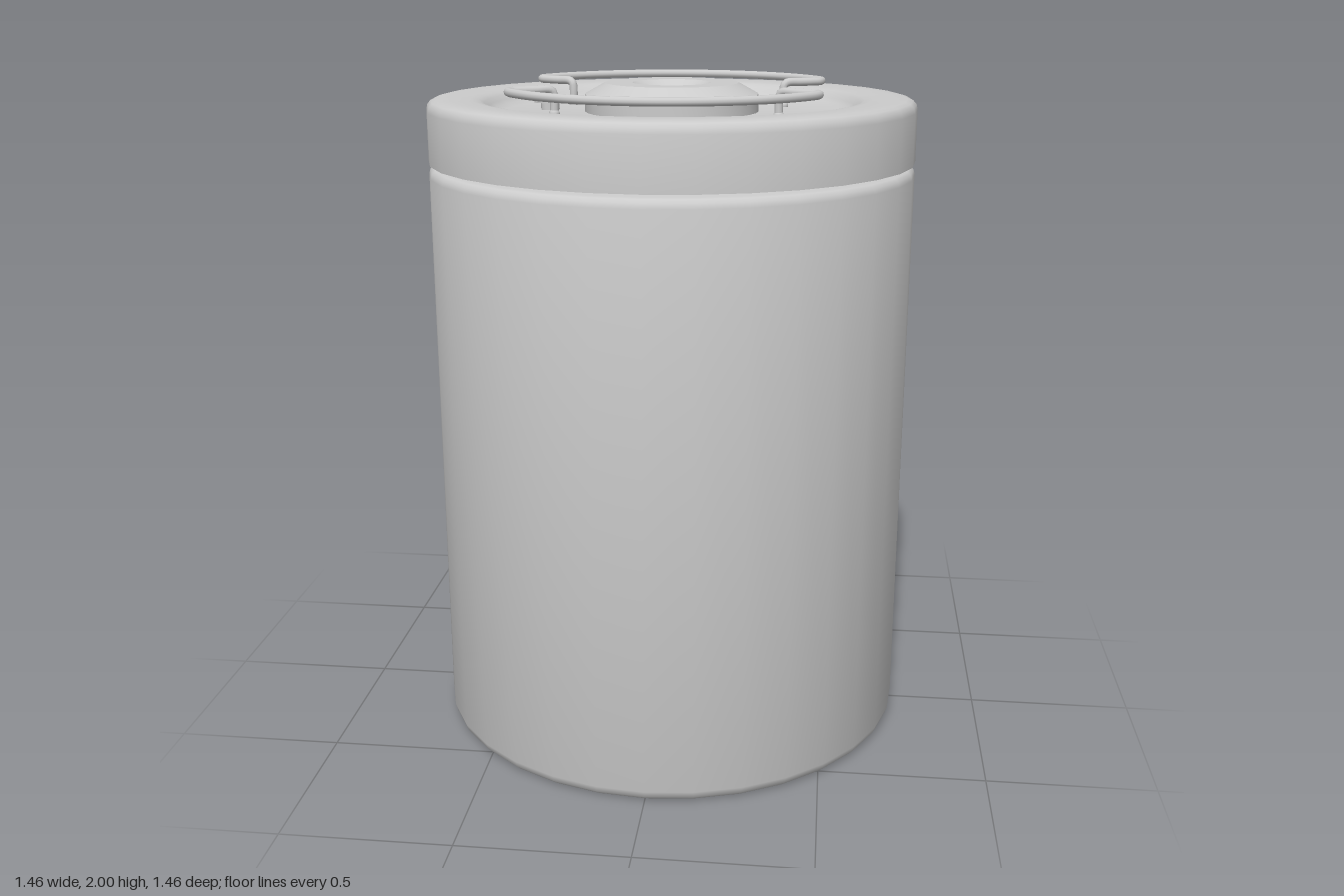
import * as THREE from 'three';
import { toCreasedNormals } from 'three/addons/utils/BufferGeometryUtils.js';

const material = new THREE.MeshStandardMaterial({ color: 0xcccccc });

function addMesh(parent, name, geometry) {
  const mesh = new THREE.Mesh(geometry, material);
  mesh.name = name;
  parent.add(mesh);
  return mesh;
}

// Turned solid; the profile runs from the bottom axis outward, up, and back to the top axis
function turned(profile, sides, crease = 0.6) {
  const points = profile.map(([r, y]) => new THREE.Vector2(r, y));
  return toCreasedNormals(new THREE.LatheGeometry(points, sides), crease);
}

// Bent wire: a bow around the rim, arms turned inward, and short legs down into the lid
function wireHandle() {
  const y = 1.987, r = 0.515;
  const half = [];
  for (let i = 1; i <= 6; i++) {
    const a = (i / 6) * 0.9;
    half.push([r * Math.sin(a), y, -r * Math.cos(a)]);
  }
  half.push([0.435, y, -0.275], [0.443, y, -0.25], [0.437, y, -0.23], [0.415, y, -0.213],
    [0.375, y, -0.19], [0.34, y, -0.17], [0.33, y - 0.006, -0.164], [0.327, y - 0.02, -0.162], [0.327, 1.905, -0.162]);
  const left = half.map(p => new THREE.Vector3(...p));
  const right = left.map(p => new THREE.Vector3(-p.x, p.y, p.z)).reverse();
  const path = new THREE.CatmullRomCurve3([...right, new THREE.Vector3(0, y, -r), ...left]);
  return new THREE.TubeGeometry(path, 180, 0.0125, 10, false);
}

export function createModel() {
  const model = new THREE.Group();
  model.name = 'canister';

  // Body with softly rounded edges and a shallow recessed base
  addMesh(model, 'body', turned([
    [0, 0.02], [0.49, 0.02], [0.56, 0.012], [0.64, 0.003], [0.695, 0], [0.712, 0.004], [0.724, 0.016], [0.73, 0.035],
    [0.73, 1.735], [0.726, 1.75], [0.716, 1.759], [0.7, 1.762], [0, 1.762],
  ], 32));

  // Narrow neck bridging the gap under the lid
  addMesh(model, 'neck', new THREE.CylinderGeometry(0.31, 0.31, 0.03, 32).translate(0, 1.768, 0));

  // Lid with a rounded rim that dips to a flat floor
  addMesh(model, 'lid', turned([
    [0, 1.773], [0.73, 1.773], [0.73, 1.925], [0.726, 1.941], [0.716, 1.952], [0.7, 1.957], [0.66, 1.958],
    [0.6, 1.956], [0.575, 1.952], [0.56, 1.944], [0.548, 1.932], [0.535, 1.921], [0.51, 1.914], [0, 1.914],
  ], 32));

  // Chamfered knob with a dished centre
  addMesh(model, 'knob', turned([
    [0, 1.91], [0.26, 1.91], [0.26, 1.965], [0.2, 1.998], [0.118, 1.998], [0.075, 1.972], [0, 1.972],
  ], 32, 0.3));

  // Small pressure button on a stem
  const button = addMesh(model, 'ventButton', turned([
    [0, 1.905], [0.028, 1.905], [0.028, 1.936], [0.048, 1.936], [0.048, 1.95], [0.04, 1.957], [0, 1.957],
  ], 24));
  button.position.x = -0.37;

  // Two mirrored wire handles with round wire ends set into the lid
  for (const [name, turn] of [['backHandle', 0], ['frontHandle', Math.PI]]) {
    addMesh(model, name, wireHandle()).rotation.y = turn;
  }
  for (const x of [-0.327, 0.327]) for (const z of [-0.162, 0.162]) {
    addMesh(model, 'handleFoot', new THREE.SphereGeometry(0.0165, 12, 8)).position.set(x, 1.917, z);
  }
  return model;
}
